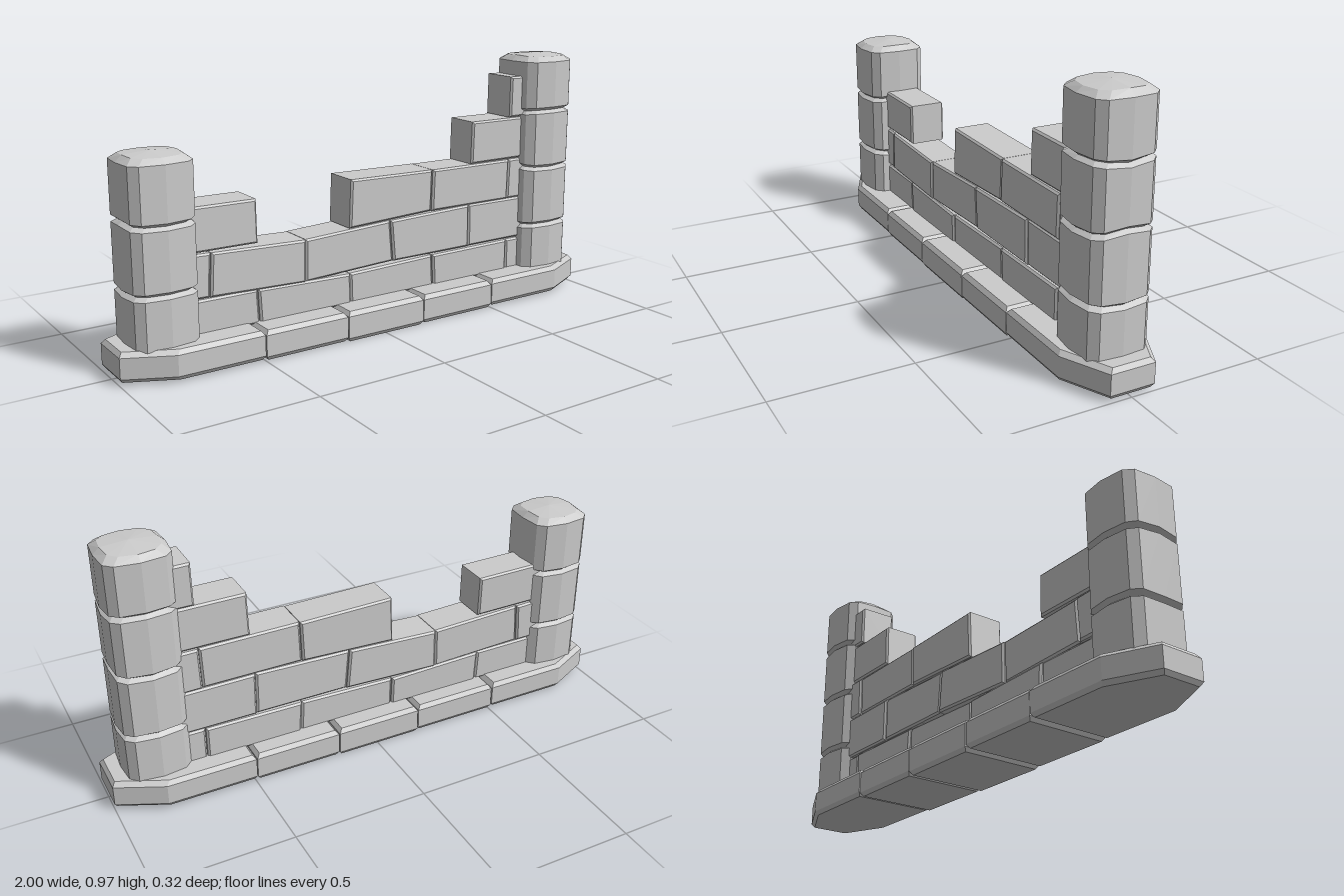
import * as THREE from 'three';

const material = new THREE.MeshStandardMaterial({ color: 0xcccccc, flatShading: true, side: THREE.DoubleSide });

// Skin a list of equal-length rings and close both ends with fans
function loft(name, rings, topRise = 0) {
  const pos = [];
  const tri = (a, b, c) => pos.push(...a, ...b, ...c);
  const centre = ring => [0, 1, 2].map(k => ring.reduce((s, p) => s + p[k], 0) / ring.length);
  const n = rings[0].length, last = rings[rings.length - 1];
  const start = centre(rings[0]), end = centre(last);
  end[1] += topRise;
  for (let j = 0; j < n; j++) {
    const k = (j + 1) % n;
    for (let i = 0; i + 1 < rings.length; i++) {
      const lo = rings[i], hi = rings[i + 1];
      tri(lo[j], lo[k], hi[k]);
      tri(lo[j], hi[k], hi[j]);
    }
    tri(start, rings[0][k], rings[0][j]);
    tri(end, last[j], last[k]);
  }
  const geometry = new THREE.BufferGeometry();
  geometry.setAttribute('position', new THREE.Float32BufferAttribute(pos, 3));
  geometry.computeVertexNormals();
  const mesh = new THREE.Mesh(geometry, material);
  mesh.name = name;
  return mesh;
}

// Horizontal ring: outline of [x, z] pulled in towards cx by an inset
const planRing = (outline, cx, y, inset, wave = 0) => outline.map(([x, z]) => [
  x - Math.sign(Math.round((x - cx) * 1e4)) * inset,
  y + wave * (1 - Math.abs(z) / 0.12),
  z - Math.sign(z) * inset,
]);

// Foundation slab with bevelled top and bottom
function slab(outline, bottom, top) {
  const xs = outline.map(p => p[0]);
  const cx = (Math.min(...xs) + Math.max(...xs)) / 2;
  const levels = [[bottom, 0.01], [bottom + 0.015, 0], [top - 0.016, 0], [top, 0.012]];
  return loft('foundationSlab', levels.map(([y, inset]) => planRing(outline, cx, y, inset)));
}

// Wall brick with its own slanted corners and bevelled faces
// corners: bottom left, bottom right, top right, top left as [x, y]
function brick(corners, back = -0.087, front = 0.06) {
  const b = 0.007;
  const cx = corners.reduce((s, p) => s + p[0], 0) / 4;
  const cy = corners.reduce((s, p) => s + p[1], 0) / 4;
  const ring = (z, inset) => corners.map(([x, y]) =>
    [x - Math.sign(x - cx) * inset, y - Math.sign(y - cy) * inset, z]);
  return loft('brick', [ring(back, b), ring(back + b, 0), ring(front - b, 0), ring(front, b)]);
}

// Pillar of stacked stones; joints are [height, wave], the last stone is domed
function pillar(name, cx, joints, top) {
  const group = new THREE.Group();
  group.name = name;
  const quarter = [[0.12, 0], [0.113, 0.084], [0.085, 0.112], [0, 0.124]];
  const half = [...quarter, ...quarter.slice(0, 3).reverse().map(([x, z]) => [-x, z])];
  const local = [...half, ...half.slice(1, -1).reverse().map(([x, z]) => [x, -z])];
  const outline = local.map(([x, z]) => [cx + x, -z]);
  joints.forEach(([y, wave], i) => {
    const next = joints[i + 1];
    const rings = [
      planRing(outline, cx, y, i ? 0.016 : 0, wave),
      planRing(outline, cx, y + 0.012, 0, wave),
    ];
    if (next) {
      rings.push(planRing(outline, cx, next[0] - 0.012, 0, next[1]));
      rings.push(planRing(outline, cx, next[0], 0.016, next[1]));
      group.add(loft('pillarStone', rings));
    } else {
      rings.push(planRing(outline, cx, top - 0.03, 0));
      rings.push(planRing(outline, cx, top - 0.011, 0.024, 0.003));
      group.add(loft('pillarCap', rings, 0.009));
    }
  });
  return group;
}

export function createModel() {
  const model = new THREE.Group();
  model.name = 'ruinedWall';

  // Foundation: three straight slabs between two pointed ends
  const foundation = new THREE.Group();
  foundation.name = 'foundation';
  const gap = 0.002;
  const seams = [-0.505, -0.17, 0.165, 0.495];
  for (let i = 0; i < 3; i++) {
    const a = seams[i] + gap, b = seams[i + 1] - gap;
    foundation.add(slab([[a, 0.16], [b, 0.16], [b, -0.163], [a, -0.163]], [0.005, 0, 0.004][i], 0.113));
  }
  const endStone = [[0.497, 0.16], [0.83, 0.16], [1, 0.08], [1, -0.085], [0.83, -0.165], [0.497, -0.165]];
  foundation.add(slab(endStone, 0.01, 0.115));
  foundation.add(slab(endStone.map(([x, z]) => [-x - 0.01 * (x < 0.6), z]).reverse(), 0.01, 0.115));
  model.add(foundation);

  // Wall: courses of slightly crooked bricks, stepped at the broken top
  const wall = new THREE.Group();
  wall.name = 'brickWall';
  const courses = [
    [[-0.77, -0.77], [-0.472, -0.478], [-0.094, -0.097], [0.285, 0.278], [0.65, 0.65], [0.78, 0.78]],
    [[-0.77, -0.77], [-0.66, -0.652], [-0.285, -0.283], [0.095, 0.082], [0.455, 0.453], [0.78, 0.78]],
    [[-0.77, -0.77], [-0.472, -0.475]],
    [[-0.097, -0.09], [0.272, 0.277], [0.648, 0.652], [0.78, 0.78]],
    [[0.463, 0.467], [0.78, 0.78]],
    [[0.653, 0.655], [0.78, 0.78]],
  ];
  // Bed heights under and over each course, one per joint
  const beds = [
    [[0.105, 0.105, 0.105, 0.105, 0.105, 0.105], [0.232, 0.23, 0.22, 0.229, 0.232, 0.232]],
    [[0.236, 0.235, 0.222, 0.236, 0.236, 0.236], [0.395, 0.391, 0.378, 0.394, 0.403, 0.4]],
    [[0.398, 0.396], [0.556, 0.553]],
    [[0.39, 0.404, 0.402, 0.4], [0.57, 0.563, 0.56, 0.56]],
    [[0.563, 0.563], [0.727, 0.725]],
    [[0.728, 0.728], [0.887, 0.885]],
  ];
  courses.forEach((joints, c) => {
    const [under, over] = beds[c];
    for (let i = 0; i + 1 < joints.length; i++) {
      const l = joints[i], r = joints[i + 1];
      wall.add(brick([
        [l[0] + 0.001, under[i]], [r[0] - 0.001, under[i + 1]],
        [r[1] - 0.001, over[i + 1]], [l[1] + 0.001, over[i]],
      ], -0.085 - 0.004 * ((c + i) % 2), 0.058 + 0.004 * (i % 2)));
    }
  });
  model.add(wall);

  // Pillars
  model.add(pillar('shortPillar', -0.83, [[0.108, 0], [0.292, -0.005], [0.522, 0.008]], 0.755));
  model.add(pillar('tallPillar', 0.825, [[0.108, 0], [0.29, -0.006], [0.522, 0.012], [0.752, -0.01]], 0.972));
  return model;
}
